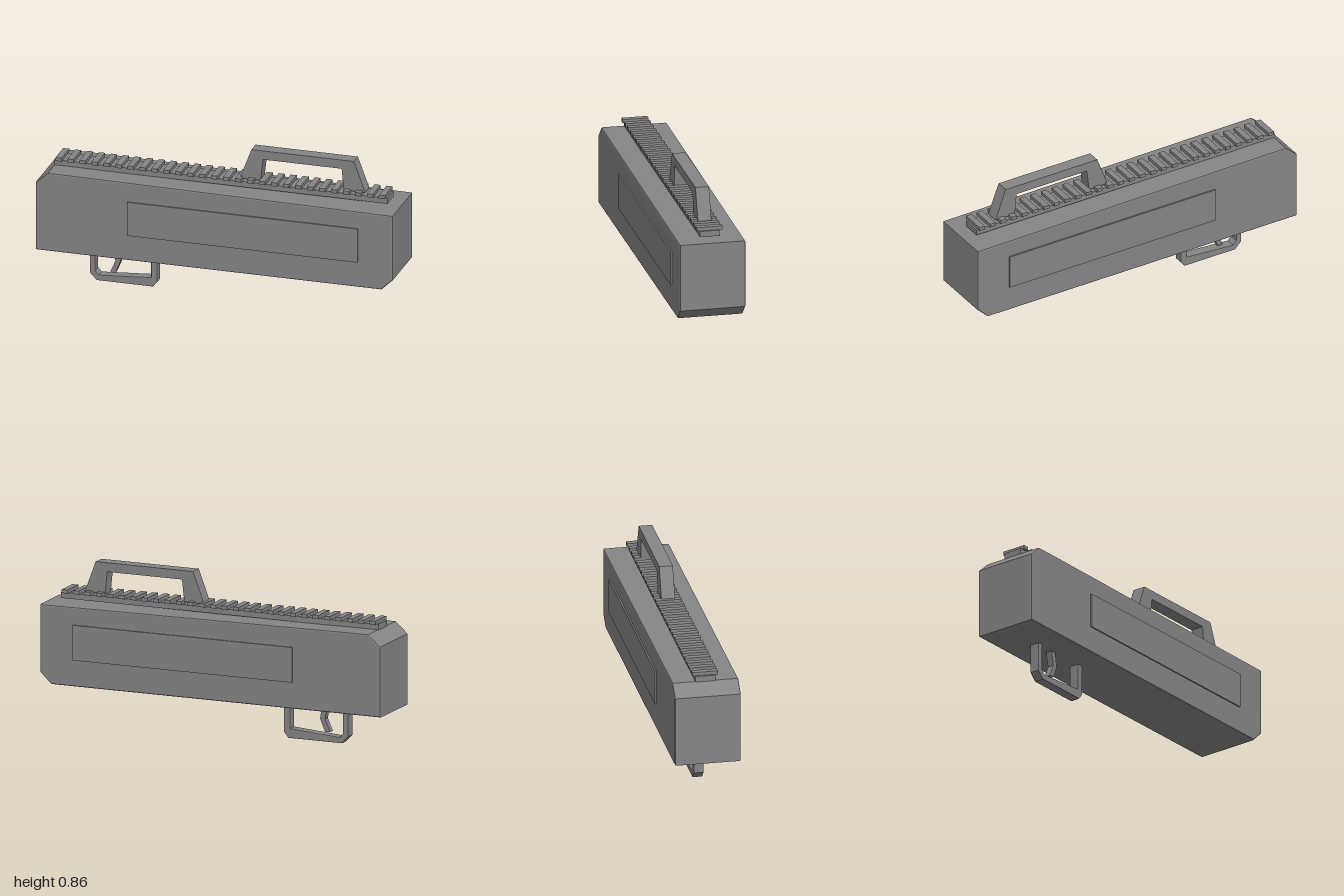
import * as THREE from 'three';

const gunmetal = new THREE.MeshStandardMaterial({ color: 0x858587 });
gunmetal.name = 'gunmetal grey';

// Side outline in x/y, extruded symmetrically about z = 0 with a small edge bevel
function slab(name, points, depth, bevel) {
  const shape = new THREE.Shape(points.map(([x, y]) => new THREE.Vector2(x, y)));
  const geometry = new THREE.ExtrudeGeometry(shape, {
    depth: depth - 2 * bevel,
    bevelEnabled: bevel > 0,
    bevelThickness: bevel,
    bevelSize: bevel,
    bevelOffset: -bevel,
    bevelSegments: 2,
  });
  geometry.translate(0, 0, bevel - depth / 2);
  const mesh = new THREE.Mesh(geometry, gunmetal);
  mesh.name = name;
  return mesh;
}

function box(name, x0, x1, y0, y1, z0, z1) {
  const mesh = new THREE.Mesh(new THREE.BoxGeometry(x1 - x0, y1 - y0, z1 - z0), gunmetal);
  mesh.position.set((x0 + x1) / 2, (y0 + y1) / 2, (z0 + z1) / 2);
  mesh.name = name;
  return mesh;
}

export function createModel() {
  const model = new THREE.Group();
  model.name = 'boxReceiver';

  // Long housing with clipped corners and a gently falling top
  model.add(slab('housing', [
    [-1, 0.2], [0.935, 0.2], [1, 0.262], [1, 0.633],
    [-0.8, 0.65], [-0.93, 0.65], [-1, 0.588],
  ], 0.36, 0.008));

  // Raised plate on each side
  for (const side of [1, -1]) {
    model.add(box(side > 0 ? 'frontSidePanel' : 'backSidePanel',
      -0.485, 0.805, 0.345, 0.538, side * 0.184 - 0.004, side * 0.184 + 0.004));
  }

  // Accessory rail: base strip and evenly spaced cross ribs
  const rail = new THREE.Group();
  rail.name = 'topRail';
  rail.add(box('railBase', -0.933, 0.932, 0.648, 0.68, -0.055, 0.055));
  const ribs = 28;
  for (let i = 0; i < ribs; i++) {
    const x = -0.905 + (i * 1.81) / (ribs - 1);
    rail.add(box('railRib', x - 0.017, x + 0.017, 0.679, 0.699, -0.07, 0.07));
  }
  model.add(rail);

  // Carry handle, open underneath
  model.add(slab('carryHandle', [
    [0.1, 0.69], [0.216, 0.69], [0.23, 0.812], [0.67, 0.812], [0.682, 0.69],
    [0.802, 0.69], [0.738, 0.862], [0.165, 0.862],
  ], 0.074, 0));

  // Trigger guard loop
  model.add(slab('triggerGuard', [
    [-0.743, 0.205], [-0.743, 0.04], [-0.705, 0], [-0.39, 0], [-0.365, 0.03],
    [-0.365, 0.205], [-0.4, 0.205], [-0.4, 0.053], [-0.692, 0.032],
    [-0.712, 0.055], [-0.712, 0.205],
  ], 0.056, 0.004));

  // Bent trigger blade
  model.add(slab('trigger', [
    [-0.62, 0.205], [-0.602, 0.122], [-0.632, 0.052],
    [-0.602, 0.052], [-0.573, 0.122], [-0.586, 0.205],
  ], 0.036, 0));

  return model;
}
